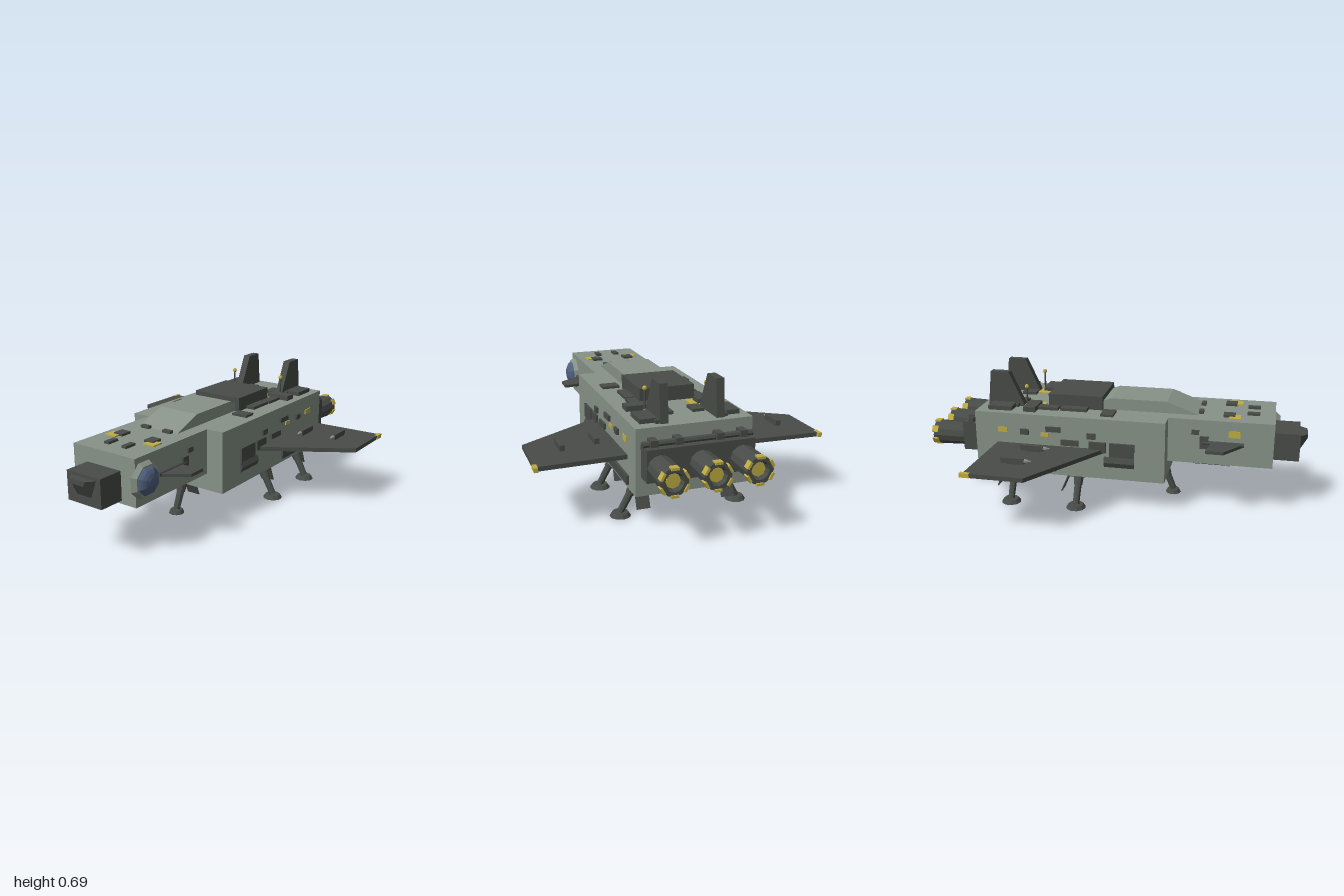
import * as THREE from 'three';
import { ConvexGeometry } from 'three/addons/geometries/ConvexGeometry.js';

const paint = (name, color) => {
  const m = new THREE.MeshStandardMaterial({ color, flatShading: true });
  m.name = name;
  return m;
};

export function createModel() {
  const root = new THREE.Group();
  root.name = 'dropship';
  const hull = paint('hull grey green', 0x879287);
  const dark = paint('dark grey', 0x484c48);
  const yellow = paint('warning yellow', 0xbfad42);
  const blue = paint('sensor blue', 0x50607f);

  const add = (name, geo, mat, x = 0, y = 0, z = 0) => {
    const m = new THREE.Mesh(geo, mat);
    m.name = name;
    m.position.set(x, y, z);
    root.add(m);
    return m;
  };
  // Box given by its extents along each axis
  const box = (name, mat, x0, x1, y0, y1, z0, z1) => add(name,
    new THREE.BoxGeometry(Math.abs(x1 - x0), y1 - y0, Math.abs(z1 - z0)), mat,
    (x0 + x1) / 2, (y0 + y1) / 2, (z0 + z1) / 2);
  // Cylinder between two points
  const rod = (name, mat, a, b, r0, r1 = r0, sides = 8) => {
    const p = new THREE.Vector3(...a), q = new THREE.Vector3(...b);
    const m = add(name, new THREE.CylinderGeometry(r1, r0, p.distanceTo(q), sides), mat);
    m.position.copy(p).add(q).multiplyScalar(0.5);
    m.quaternion.setFromUnitVectors(new THREE.Vector3(0, 1, 0), q.sub(p).normalize());
    return m;
  };
  const shape = pts => new THREE.Shape(pts.map(p => new THREE.Vector2(...p)));
  // Plate from an (x, z) outline, top surface at y
  const plate = (name, mat, pts, y, t) => add(name,
    new THREE.ExtrudeGeometry(shape(pts), { depth: t, bevelEnabled: false }).rotateX(Math.PI / 2), mat, 0, y, 0);
  // Slab from a (z, y) outline, centred on x
  const profile = (name, mat, pts, x, w) => add(name,
    new THREE.ExtrudeGeometry(shape(pts), { depth: w, bevelEnabled: false }).rotateY(-Math.PI / 2), mat, x + w / 2, 0, 0);

  // Hull, roof and nose
  box('mainHull', hull, -0.29, 0.29, 0.172, 0.5, -0.73, 0.288);
  box('foreHull', hull, -0.193, 0.193, 0.262, 0.5, 0.28, 0.83);
  profile('roofCanopy', hull, [[0.45, 0.495], [0.27, 0.562], [-0.03, 0.562], [-0.1, 0.535], [-0.1, 0.495]], 0, 0.24);
  box('roofHousing', dark, -0.145, 0.145, 0.5, 0.574, -0.365, -0.07);
  box('nose', dark, -0.105, 0.105, 0.278, 0.425, 0.82, 0.963);
  const chin = [];
  for (const s of [-1, 1]) chin.push([s * 0.08, 0.41, 0.962], [s * 0.045, 0.41, 1], [s * 0.045, 0.32, 0.962], [s * 0.035, 0.385, 1]);
  add('noseWindow', new ConvexGeometry(chin.map(p => new THREE.Vector3(...p))), dark);

  // Sensor dome on the left side of the fore hull
  const ring = add('sensorRing', new THREE.CylinderGeometry(0.08, 0.097, 0.024, 8), hull, 0.204, 0.383, 0.77);
  ring.rotation.set(0, 0, -Math.PI / 2);
  ring.geometry.rotateY(Math.PI / 8);
  const dome = add('sensorDome', new THREE.SphereGeometry(0.074, 8, 5, 0, Math.PI * 2, 0, Math.PI / 2), blue, 0.208, 0.383, 0.77);
  dome.geometry.scale(1, 0.57, 1).rotateY(Math.PI / 8);
  dome.rotation.z = -Math.PI / 2;

  // Engine block and engines
  box('engineBlock', dark, -0.265, 0.265, 0.268, 0.425, -0.815, -0.72);
  rod('enginePipe', dark, [-0.27, 0.435, -0.765], [0.27, 0.435, -0.765], 0.016);
  for (const x of [-0.22, -0.1, 0.1, 0.22]) box('pipeClamp', dark, x - 0.018, x + 0.018, 0.41, 0.457, -0.79, -0.735);
  for (const x of [-0.202, 0, 0.202]) {
    rod('engine', dark, [x, 0.337, -0.8], [x, 0.337, -0.965], 0.061, 0.066, 12);
    const lip = add('engineLip', new THREE.LatheGeometry(
      [[0.066, 0], [0.066, 0.028], [0.045, 0.028], [0.036, 0]].map(p => new THREE.Vector2(...p)), 12), dark, x, 0.337, -0.962);
    lip.geometry.rotateX(-Math.PI / 2);
    lip.material.side = THREE.DoubleSide;
    rod('engineGlow', yellow, [x, 0.337, -0.964], [x, 0.337, -0.972], 0.035, 0.035, 8);
    for (let i = 0; i < 6; i++) {
      const a = i * Math.PI / 3 + Math.PI / 2;
      const tab = add('engineTab', new THREE.BoxGeometry(0.012, 0.036, 0.034), yellow,
        x + Math.cos(a) * 0.063, 0.337 + Math.sin(a) * 0.063, -0.981);
      tab.rotation.z = a;
    }
  }

  for (const s of [-1, 1]) {
    // Wings, canards and tail fins
    plate('wing', dark, [[s * 0.28, -0.03], [s * 0.29, -0.035], [s * 0.73, -0.32], [s * 0.73, -0.625], [s * 0.28, -0.61]], 0.336, 0.022);
    box('wingTipLight', yellow, s * 0.715, s * 0.735, 0.315, 0.337, -0.64, -0.59);
    plate('canard', dark, [[s * 0.185, 0.515], [s * 0.322, 0.495], [s * 0.322, 0.585], [s * 0.185, 0.685]], 0.383, 0.016);
    box('canardHinge', dark, s * 0.185, s * 0.208, 0.348, 0.413, 0.455, 0.5);
    rod('canardStrut', dark, [s * 0.2, 0.38, 0.47], [s * 0.2, 0.38, 0.68], 0.012);
    profile('tailFin', dark, [[-0.495, 0.5], [-0.58, 0.685], [-0.68, 0.685], [-0.7, 0.5]], s * 0.14, 0.04);

    // Wing missiles
    for (const [x, y, z] of [[0.39, 0.357, -0.375], [0.57, 0.357, -0.415], [0.48, 0.293, -0.375]]) {
      box('missile', dark, s * x - 0.013, s * x + 0.013, y - 0.014, y + 0.014, z - 0.07, z + 0.05);
      rod('missileTip', hull, [s * x, y, z + 0.05], [s * x, y, z + 0.085], 0.012, 0.001, 6);
      box('missilePylon', dark, s * x - 0.005, s * x + 0.005, Math.min(y, 0.325), Math.max(y, 0.325), z - 0.04, z + 0.03);
    }

    // Antennas
    rod('antenna', dark, [s * 0.16, 0.5, -0.48], [s * 0.16, 0.61, -0.48], 0.005, 0.005, 6);
    add('antennaTip', new THREE.SphereGeometry(0.012, 8, 6), yellow, s * 0.16, 0.612, -0.48);

    // Roof fittings: x0, x1, z0, z1, height
    for (const [x0, x1, z0, z1, h] of [
      [0.165, 0.25, -0.67, -0.54, 0.022], [0.12, 0.18, -0.69, -0.525, 0.018], [0.05, 0.11, -0.58, -0.5, 0.015],
      [0.12, 0.25, -0.475, -0.41, 0.026], [0.15, 0.2, -0.41, -0.3, 0.015], [0.14, 0.195, -0.29, -0.145, 0.015],
      [0.155, 0.245, -0.06, 0.008, 0.012], [0.045, 0.095, 0.435, 0.46, 0.014], [0.07, 0.125, 0.565, 0.625, 0.012],
      [0.04, 0.07, 0.685, 0.75, 0.012]])
      box('roofFitting', dark, s * x0, s * x1, 0.495, 0.5 + h, z0, z1);
    box('roofMarking', yellow, s * 0.085, s * 0.165, 0.497, 0.506, -0.5, -0.39);
    box('roofMarking', yellow, s * 0.09, s * 0.155, 0.497, 0.506, 0.595, 0.655);

    // Side fittings: y0, y1, z0, z1
    for (const [y0, y1, z0, z1] of [
      [0.3, 0.375, 0, 0.13], [0.195, 0.24, -0.635, -0.29], [0.32, 0.375, -0.11, -0.02], [0.39, 0.42, -0.12, -0.075],
      [0.415, 0.442, -0.34, -0.26], [0.39, 0.42, -0.48, -0.435], [0.345, 0.375, -0.26, -0.165]])
      box('sideFitting', dark, s * 0.285, s * 0.302, y0, y1, z0, z1);
    rod('sideTank', dark, [s * 0.268, 0.268, -0.03], [s * 0.268, 0.268, 0.13], 0.038);
    box('sideMarking', yellow, s * 0.287, s * 0.295, 0.385, 0.405, -0.37, -0.325);
    box('sideMarking', yellow, s * 0.287, s * 0.295, 0.395, 0.422, -0.605, -0.55);
    box('foreSideFitting', dark, s * 0.19, s * 0.2, 0.42, 0.445, 0.41, 0.45);
  }
  box('foreSideMarking', yellow, -0.198, -0.19, 0.415, 0.45, 0.6, 0.66);

  // Belly guns under the fore hull
  box('gunPlate', dark, -0.145, 0.145, 0.253, 0.264, 0.31, 0.637);
  for (const x of [-0.095, 0, 0.095]) {
    rod('gunBarrel', dark, [x, 0.23, 0.415], [x, 0.23, 0.598], 0.011);
    rod('gunMuzzle', yellow, [x, 0.23, 0.596], [x, 0.23, 0.61], 0.014);
    box('gunMount', dark, x - 0.01, x + 0.01, 0.225, 0.258, 0.49, 0.53);
  }

  // Belly vents
  box('ventPanel', dark, -0.11, 0.11, 0.165, 0.175, -0.69, -0.44);
  for (const z of [-0.645, -0.565, -0.485]) {
    box('vent', yellow, -0.075, 0.075, 0.158, 0.167, z - 0.029, z + 0.029);
    box('ventSlot', dark, -0.055, 0.055, 0.155, 0.16, z - 0.014, z + 0.014);
  }

  // Landing gear: strut, collar, foot and bay door
  const gear = (top, foot, r, doorX, doorW, doorZ) => {
    rod('legStrut', dark, top, [foot[0], 0.02, foot[1]], 0.021, 0.018);
    const mid = top.map((v, i) => v * 0.6 + [foot[0], 0.02, foot[1]][i] * 0.4);
    rod('legCollar', dark, top, mid, 0.028, 0.024);
    rod('footPad', dark, [foot[0], 0, foot[1]], [foot[0], 0.02, foot[1]], r, r * 0.75, 10);
    box('legSocket', dark, top[0] - 0.045, top[0] + 0.045, 0.16, 0.174, top[2] - 0.045, top[2] + 0.045);
    const door = add('gearDoor', new THREE.BoxGeometry(doorW, 0.115, 0.006), dark, doorX, 0.115, doorZ);
    door.rotation.x = 0.4;
  };
  gear([0, 0.17, 0.24], [0, 0.3], 0.042, 0, 0.075, 0.17);
  for (const s of [-1, 1]) for (const z of [-0.182, -0.545])
    gear([s * 0.225, 0.17, z], [s * 0.307, z], 0.053, s * 0.22, 0.068, z - 0.072);

  return root;
}
